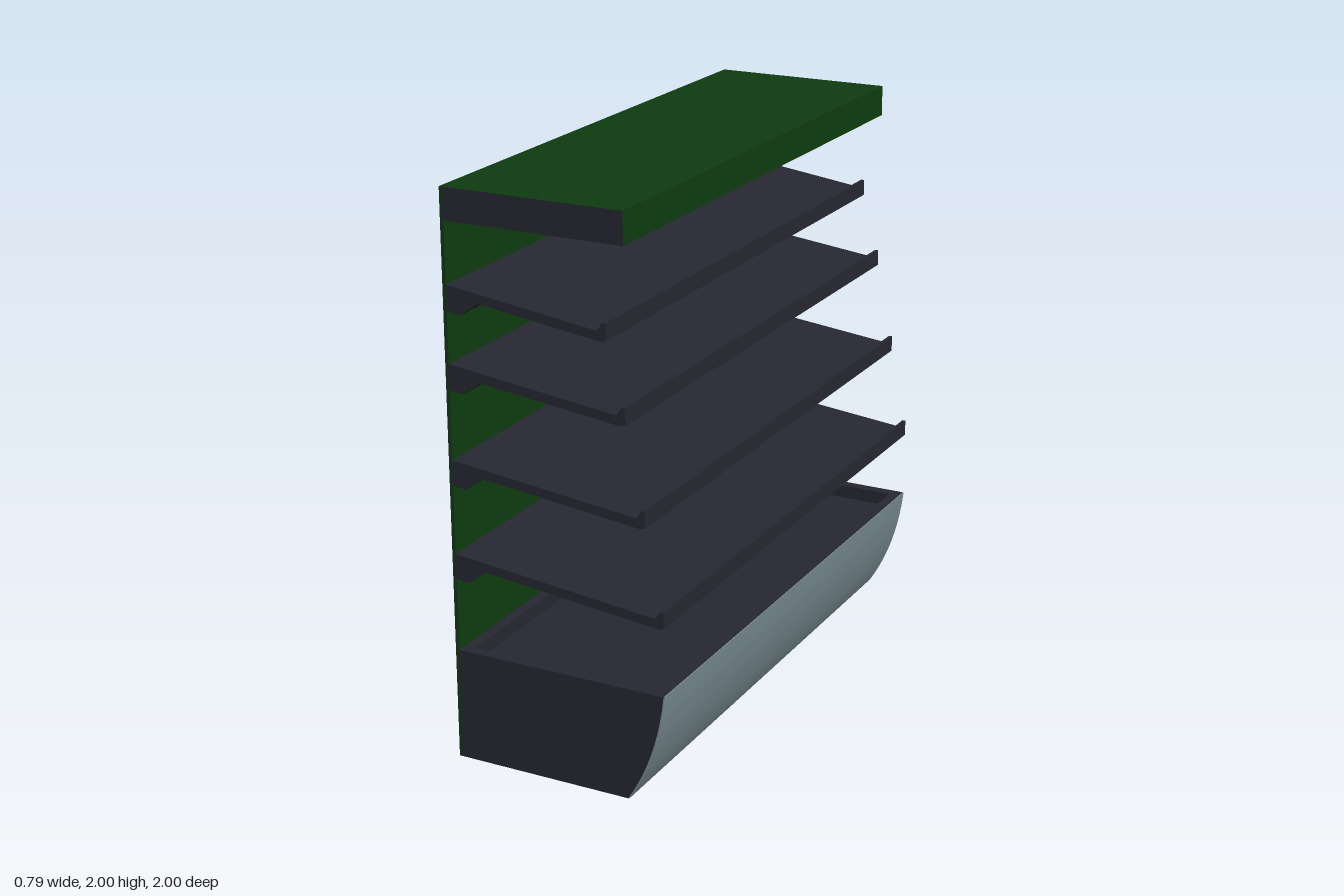
import * as THREE from 'three';

const material = (name, color) => {
  const m = new THREE.MeshStandardMaterial({ color });
  m.name = name;
  return m;
};

export function createModel() {
  const group = new THREE.Group();
  const charcoal = material('charcoal', 0x262631);
  const green = material('dark green', 0x0e3a10);
  const steel = material('steel grey', 0x778a90);

  const add = (name, geometry, mat, x = 0, y = 0, z = 0) => {
    const mesh = new THREE.Mesh(geometry, mat);
    mesh.name = name;
    mesh.position.set(x, y, z);
    group.add(mesh);
    return mesh;
  };

  // Extrudes a side profile along z between z0 and z1
  const extrude = (name, points, z0, z1, mat) => {
    const shape = new THREE.Shape(points.map(([x, y]) => new THREE.Vector2(x, y)));
    const geometry = new THREE.ExtrudeGeometry(shape, { depth: z1 - z0, bevelEnabled: false });
    return add(name, geometry, mat, 0, 0, z0);
  };

  // Rear panel: green facing with a charcoal back sheet
  add('backPanel', new THREE.BoxGeometry(0.01, 2, 2), green, -0.39, 1, 0);
  add('backSheet', new THREE.BoxGeometry(0.004, 1.998, 2), charcoal, -0.396, 0.999, 0);

  // Canopy: green with charcoal ends (box faces: +x, -x, +y, -y, +z, -z)
  add('canopy', new THREE.BoxGeometry(0.657, 0.11, 2),
    [green, charcoal, green, green, charcoal, charcoal], -0.0685, 1.945, 0);

  // Base: curved front, shallow tray between raised rims
  const curve = new THREE.QuadraticBezierCurve(
    new THREE.Vector2(0.257, 0), new THREE.Vector2(0.367, 0.17), new THREE.Vector2(0.391, 0.4));
  const front = curve.getPoints(10).map((p) => [p.x, p.y]);
  const rim = 0.04, floorY = 0.35, backX = -0.386;
  extrude('baseBody', [[backX, 0], ...front, [0.391 - rim, 0.4], [0.391 - rim, floorY],
    [backX + rim, floorY], [backX + rim, 0.4], [backX, 0.4]], -1 + rim, 1 - rim, charcoal);
  for (const z of [-1, 1 - rim]) {
    extrude('baseEnd', [[backX, 0], ...front, [backX, 0.4]], z, z + rim, charcoal);
  }
  const outer = front.map(([x, y]) => [x + 0.004, y]).reverse();
  extrude('baseFront', [...front, ...outer].reverse(), -1, 1, steel);

  // Sloping shelves: [rear top height, front reach, drop to the front underside]
  const shelves = [[1.68, 0.195, 0.108], [1.413, 0.26, 0.108], [1.082, 0.327, 0.111], [0.75, 0.393, 0.113]];
  for (const [top, reach, drop] of shelves) {
    const low = top - drop;
    const under = (x) => top - 0.033 - (drop - 0.033) * (x + 0.388) / (reach + 0.388);
    extrude('shelf', [
      [-0.388, top - 0.09], [-0.335, top - 0.096], [-0.27, under(-0.27)],
      [reach - 0.02, low], [reach, low + 0.004], [reach, low + 0.062], [reach - 0.012, low + 0.062],
      [reach - 0.031, low + 0.034], [-0.388, top],
    ], -1, 1, charcoal);
  }

  return group;
}
